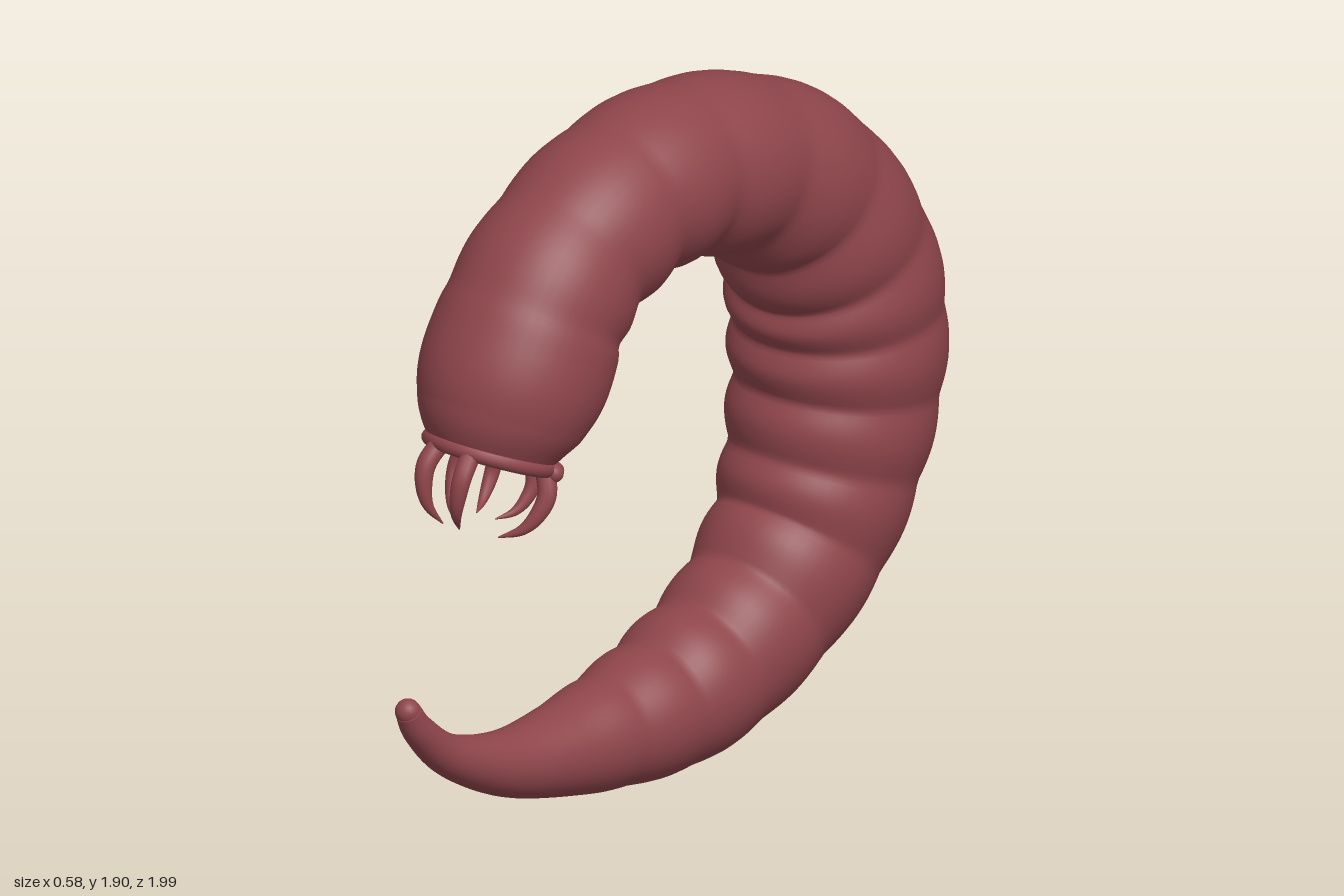
import * as THREE from 'three';

// Sweeps circles along a path in the x = 0 plane. Points are [z, y, radius].
// ripple(u, a) scales the radius; a = PI/2 is the inner side of the curl.
function sweep(points, rings, sides, ripple = () => 1) {
  const curve = new THREE.CatmullRomCurve3(
    points.map(([z, y, r]) => new THREE.Vector3(r, y, z)), false, 'catmullrom', 0.5);
  const pos = [], index = [];
  for (let i = 0; i <= rings; i++) {
    const u = i / rings;
    const p = curve.getPoint(u);
    const t = curve.getPoint(Math.min(u + 0.002, 1)).sub(curve.getPoint(Math.max(u - 0.002, 0)));
    t.x = 0;
    t.normalize();
    for (let j = 0; j < sides; j++) {
      const a = (j / sides) * Math.PI * 2;
      const r = p.x * ripple(u * (points.length - 1), a);
      pos.push(r * Math.cos(a), p.y + r * Math.sin(a) * t.z, p.z - r * Math.sin(a) * t.y);
      if (i < rings) {
        const k = (j + 1) % sides, o = i * sides, n = o + sides;
        index.push(o + j, o + k, n + j, o + k, n + k, n + j);
      }
    }
  }
  // End caps
  const first = pos.length / 3, last = first + 1, o = rings * sides;
  const [z0, y0] = points[0], [z1, y1] = points[points.length - 1];
  pos.push(0, y0, z0, 0, y1, z1);
  for (let j = 0; j < sides; j++) {
    const k = (j + 1) % sides;
    index.push(first, k, j, last, o + j, o + k);
  }
  const g = new THREE.BufferGeometry();
  g.setAttribute('position', new THREE.Float32BufferAttribute(pos, 3));
  g.setIndex(index);
  g.computeVertexNormals();
  return g;
}

export function createModel() {
  const model = new THREE.Group();
  const flesh = new THREE.MeshStandardMaterial({ color: 0x8e454b });
  flesh.name = 'dull red flesh';
  const add = (parent, name, geometry) => {
    const m = new THREE.Mesh(geometry, flesh);
    m.name = name;
    parent.add(m);
    return m;
  };

  // Curled body from mouth to tail tip
  const path = [
    [0.648, 1.10, 0.165], [0.61, 1.19, 0.222], [0.545, 1.31, 0.25], [0.41, 1.51, 0.235],
    [0.16, 1.645, 0.232], [-0.14, 1.66, 0.235], [-0.46, 1.525, 0.25], [-0.65, 1.28, 0.275],
    [-0.705, 1.02, 0.285], [-0.665, 0.745, 0.268], [-0.55, 0.495, 0.24], [-0.33, 0.305, 0.213],
    [-0.07, 0.205, 0.195], [0.2, 0.18, 0.155], [0.45, 0.19, 0.112], [0.63, 0.225, 0.083],
    [0.81, 0.305, 0.056], [0.92, 0.405, 0.043], [0.965, 0.475, 0.034],
  ];
  const step = THREE.MathUtils.smoothstep;
  const ripple = (u, a) => {
    const fade = step(u, 2.3, 2.8) * (1 - step(u, 12.5, 14));
    const depth = 0.06 + 0.03 * Math.sin(a);
    return 1 + fade * depth * (Math.abs(Math.sin(Math.PI * 1.35 * (u - 2.6))) - 0.7);
  };
  add(model, 'segmentedBody', sweep(path, 300, 48, ripple));
  add(model, 'tailTip', new THREE.SphereGeometry(0.034, 20, 14)).position.set(0, 0.475, 0.965);

  // Mouth, built facing down and then tilted
  const mouth = new THREE.Group();
  mouth.name = 'mouth';
  mouth.position.set(0, 1.10, 0.648);
  mouth.rotation.x = -0.406;
  model.add(mouth);
  const lip = add(mouth, 'lipRing', new THREE.TorusGeometry(0.16, 0.022, 12, 48));
  lip.rotation.x = Math.PI / 2;

  // Sickle fangs curving inward around the lip
  const fang = sweep([
    [0.145, 0.01, 0.026], [0.174, -0.06, 0.026], [0.165, -0.12, 0.022],
    [0.135, -0.17, 0.014], [0.08, -0.205, 0.002],
  ], 20, 12);
  for (const side of [1, -1]) {
    for (const [deg, size] of [[21, 1], [118, 1], [150, 0.8]]) {
      const f = add(mouth, 'fang', fang);
      f.rotation.y = side * THREE.MathUtils.degToRad(deg);
      f.scale.set(size, size, size);
    }
  }

  // Row of small nubs along the rear of the lip
  const nub = new THREE.SphereGeometry(0.025, 14, 10);
  for (let i = -3; i <= 3; i++) {
    const a = Math.PI + i * 0.36;
    const n = add(mouth, 'lipNub', nub);
    n.position.set(0.178 * Math.sin(a), -0.004, 0.178 * Math.cos(a));
  }
  return model;
}
